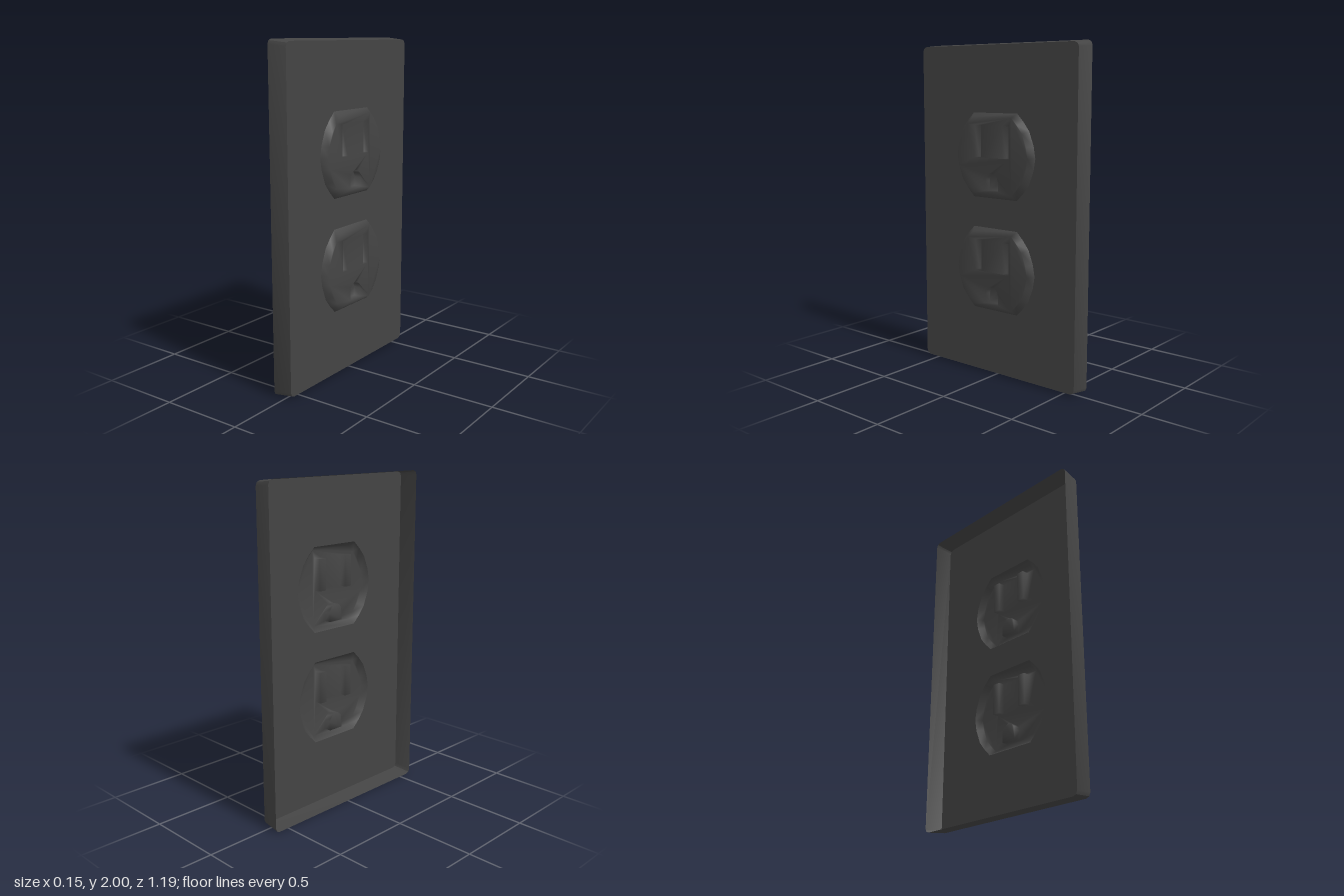
import * as THREE from 'three';
import { mergeGeometries, mergeVertices, toCreasedNormals } from 'three/addons/utils/BufferGeometryUtils.js';

const BACK = -0.074, FACE = 0.04, TOP = 0.074, FLOOR = 0.032;

const pts = (list) => list.map(([a, b]) => new THREE.Vector2(a, b));
const shift = (loop, dy) => loop.map((p) => new THREE.Vector2(p.x, p.y + dy));

// Wall between two matching loops at different depths
function wall(loopA, zA, loopB, zB) {
  const v = [];
  loopA.forEach((a, i) => {
    const j = (i + 1) % loopA.length;
    const a2 = loopA[j], b = loopB[i], b2 = loopB[j];
    v.push(a.x, a.y, zA, a2.x, a2.y, zA, b2.x, b2.y, zB);
    v.push(a.x, a.y, zA, b2.x, b2.y, zB, b.x, b.y, zB);
  });
  const g = new THREE.BufferGeometry();
  g.setAttribute('position', new THREE.Float32BufferAttribute(v, 3));
  return g;
}

// Flat face bounded by a loop, with optional holes
function cap(loop, z, holes = []) {
  const shape = new THREE.Shape(loop);
  holes.forEach((h) => shape.holes.push(new THREE.Path(h)));
  const g = new THREE.ShapeGeometry(shape).toNonIndexed();
  g.deleteAttribute('normal');
  g.deleteAttribute('uv');
  return g.translate(0, 0, z);
}

// Counter-clockwise rectangle with clipped corners
function clippedRect(w, h, c) {
  return pts([
    [w - c, -h], [w - c * 0.3, -h + c * 0.3], [w, -h + c], [w, h - c], [w - c * 0.3, h - c * 0.3], [w - c, h],
    [-w + c, h], [-w + c * 0.3, h - c * 0.3], [-w, h - c], [-w, -h + c], [-w + c * 0.3, -h + c * 0.3], [-w + c, -h],
  ]);
}

// Rounded sides with flat top and bottom
function socketOutline(sx, sy) {
  const side = [[0.165, -0.252], [0.21, -0.207], [0.252, -0.155], [0.285, -0.07], [0.297, 0],
    [0.285, 0.07], [0.252, 0.155], [0.21, 0.207], [0.165, 0.252]];
  const all = [...side, ...side.map(([a, b]) => [-a, -b])];
  return pts(all.map(([a, b]) => [a * sx, b * sy]));
}

const slot = (x) => pts([[x - 0.025, -0.01], [x + 0.025, -0.01], [x + 0.025, 0.18], [x - 0.025, 0.18]]);

// Ground opening: flat bottom, round top
function groundHole() {
  const p = [[-0.05, -0.205], [0.05, -0.205]];
  for (let i = 0; i <= 6; i++) {
    const t = (i / 6) * Math.PI;
    p.push([0.05 * Math.cos(t), -0.15 + 0.05 * Math.sin(t)]);
  }
  return pts(p);
}

export function createModel() {
  const model = new THREE.Group();
  model.name = 'outletCover';
  const material = new THREE.MeshStandardMaterial({ color: 0x444444, side: THREE.DoubleSide });

  const base = socketOutline(1, 1);
  const rim = socketOutline(0.9, 0.9);
  const centres = [0.343, -0.343];

  // Open-backed wall plate with tapered edges
  const outer = clippedRect(0.593, 1, 0.028);
  const inner = clippedRect(0.582, 0.988, 0.028);
  const plateGeometry = mergeGeometries([
    wall(outer, BACK, inner, FACE),
    cap(inner, FACE, centres.map((y) => shift(base, y))),
  ]);
  const plate = new THREE.Mesh(toCreasedNormals(plateGeometry, 0.6), material);
  plate.name = 'wallPlate';

  // Raised socket with recessed openings, softly shaded as one skin
  const openings = [slot(-0.105), slot(0.105), groundHole()];
  const parts = [wall(base, FACE, rim, TOP), cap(rim, TOP, openings)];
  openings.forEach((o) => parts.push(wall(o, TOP, o, FLOOR), cap(o, FLOOR)));
  const socketGeometry = mergeVertices(mergeGeometries(parts), 1e-4);
  socketGeometry.computeVertexNormals();

  // Build facing +z, then turn to face +x
  const body = new THREE.Group();
  body.name = 'plateAndSockets';
  body.add(plate);
  centres.forEach((y, i) => {
    const socket = new THREE.Mesh(socketGeometry, material);
    socket.name = i === 0 ? 'upperSocket' : 'lowerSocket';
    socket.position.y = y;
    body.add(socket);
  });
  body.rotation.y = Math.PI / 2;
  body.position.y = 1;
  model.add(body);
  return model;
}
